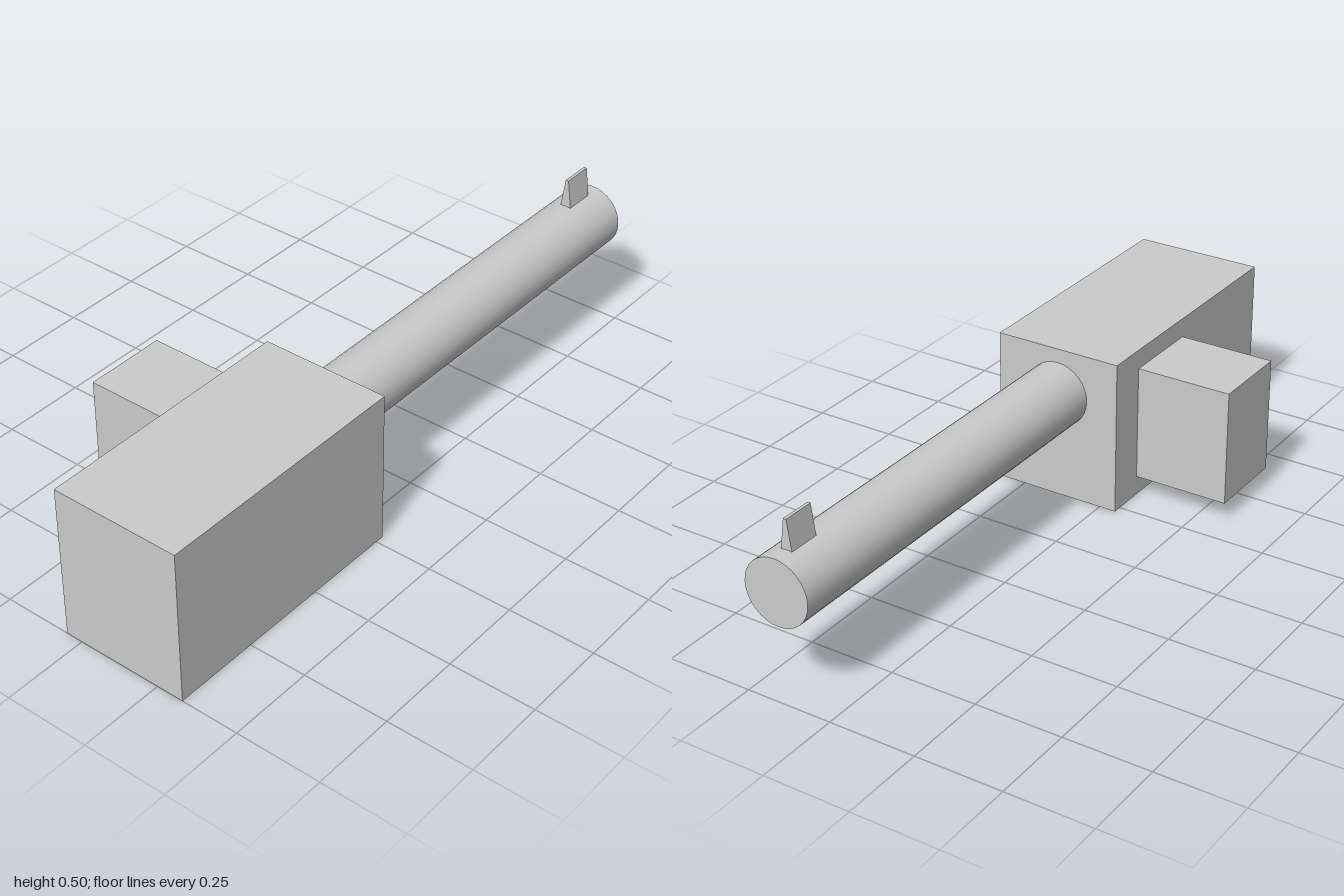
import * as THREE from 'three';

const material = new THREE.MeshStandardMaterial({ color: 0xcccccc });

function addPart(group, name, geometry, x, y, z) {
  const mesh = new THREE.Mesh(geometry, material);
  mesh.name = name;
  mesh.position.set(x, y, z);
  group.add(mesh);
}

export function createModel() {
  const group = new THREE.Group();
  group.name = 'blockCannon';
  const axisX = 0.14;

  // Main housing and the smaller box on its right side
  addPart(group, 'housing', new THREE.BoxGeometry(0.38, 0.453, 0.776), axisX, 0.2265, 0.612);
  addPart(group, 'sideBox', new THREE.BoxGeometry(0.284, 0.338, 0.24), -0.19, 0.227, 0.459);

  // Barrel running back along -z
  const barrel = new THREE.CylinderGeometry(0.095, 0.095, 1.226, 32).rotateX(Math.PI / 2);
  addPart(group, 'barrel', barrel, axisX, 0.317, -0.387);

  // Tapered sight blade on top of the barrel end
  const profile = new THREE.Shape([
    new THREE.Vector2(-0.017, 0),
    new THREE.Vector2(0.017, 0),
    new THREE.Vector2(0.0045, 0.09),
    new THREE.Vector2(-0.0045, 0.09),
  ]);
  const sight = new THREE.ExtrudeGeometry(profile, { depth: 0.092, bevelEnabled: false });
  addPart(group, 'sight', sight, axisX, 0.406, -0.952);

  return group;
}
